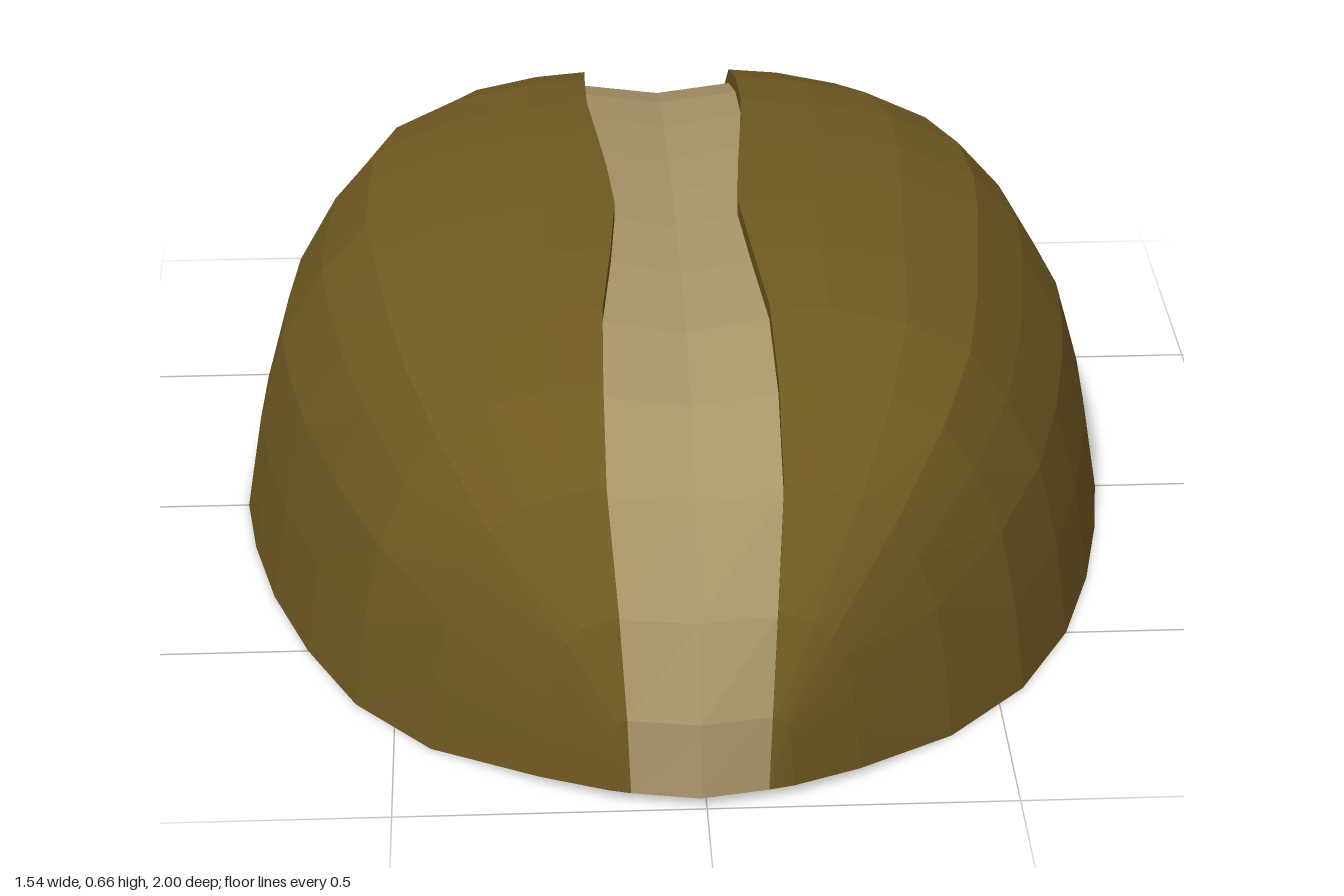
import * as THREE from 'three';

// Stations from back to front: z, crest height, half width at +x, half width at -x, groove half width
const ROWS = [
  [-0.98, 0.02, 0.105, 0.125, 0.105], [-0.97, 0.15, 0.15, 0.16, 0.11], [-0.92, 0.28, 0.28, 0.29, 0.115],
  [-0.81, 0.44, 0.455, 0.47, 0.125], [-0.67, 0.545, 0.59, 0.615, 0.127], [-0.51, 0.6, 0.685, 0.695, 0.13],
  [-0.34, 0.63, 0.75, 0.75, 0.13], [-0.16, 0.65, 0.77, 0.768, 0.117], [0, 0.66, 0.76, 0.775, 0.104],
  [0.15, 0.663, 0.738, 0.755, 0.095], [0.32, 0.66, 0.7, 0.715, 0.107], [0.5, 0.64, 0.64, 0.65, 0.126],
  [0.67, 0.59, 0.545, 0.565, 0.13], [0.81, 0.48, 0.41, 0.44, 0.13], [0.92, 0.31, 0.25, 0.265, 0.115],
  [0.97, 0.15, 0.14, 0.155, 0.105], [0.98, 0.02, 0.1, 0.12, 0.1],
];
// Cross-section from groove lip (0, 1) to rim (1, 0)
const PROFILE = [[0, 1], [0.195, 0.985], [0.437, 0.94], [0.644, 0.85], [0.77, 0.71], [0.885, 0.515], [0.954, 0.27], [1, 0]];
const LEFT_EXTRA = 0.02;

const rimY = (z) => 0.02 * THREE.MathUtils.smoothstep(Math.abs(z), 0.78, 0.98);
// Groove depth fades out at both tips
const fade = (z) => Math.min(1, (0.98 - Math.abs(z)) * 10);
const lipX = (row, side) => side * (row[4] + (side < 0 ? LEFT_EXTRA : 0));
const halfWidth = (row, side) => (side > 0 ? row[2] : row[3]);

function floorEdge(row, side) {
  const [z, h] = row;
  const f = fade(z);
  return [lipX(row, side), h * (1 - 0.045 * f), z * (1 - 0.012 * f)];
}

function floorCentre([z, h]) {
  const f = fade(z);
  return [-0.01, h * (1 - 0.078 * f), z * (1 + 0.0204 * (1 - f) - 0.012 * f)];
}

// Skin a list of equal-length cross-sections
function loft(sections, flip, name, material) {
  const n = sections[0].length;
  const index = [];
  for (let i = 0; i < sections.length - 1; i++) {
    for (let j = 0; j < n - 1; j++) {
      const a = i * n + j, b = a + 1, c = a + n, d = c + 1;
      if (flip) index.push(a, b, c, b, d, c);
      else index.push(a, c, b, b, c, d);
    }
  }
  const geometry = new THREE.BufferGeometry();
  geometry.setAttribute('position', new THREE.Float32BufferAttribute(sections.flat(2), 3));
  geometry.setIndex(index);
  geometry.computeVertexNormals();
  const mesh = new THREE.Mesh(geometry, material);
  mesh.name = name;
  return mesh;
}

export function createModel() {
  const model = new THREE.Group();
  model.name = 'halfBean';
  const brown = new THREE.MeshStandardMaterial({ color: 0x705922, flatShading: true, side: THREE.DoubleSide });
  const tan = new THREE.MeshStandardMaterial({ color: 0xa89468, flatShading: true, side: THREE.DoubleSide });

  // Two domed lobes with the groove walls between them
  for (const side of [1, -1]) {
    const label = side > 0 ? 'left' : 'right';
    const lobe = ROWS.map((row) => PROFILE.map(([q, p]) => {
      const lip = lipX(row, side), y0 = rimY(row[0]);
      return [lip + (side * halfWidth(row, side) - lip) * q, y0 + (row[1] - y0) * p, row[0]];
    }));
    model.add(loft(lobe, side < 0, label + 'Lobe', brown));
    const wall = ROWS.map((row) => [floorEdge(row, side), [lipX(row, side), row[1], row[0]]]);
    model.add(loft(wall, side < 0, label + 'GrooveWall', brown));
  }

  // Pale groove strip, slightly V-shaped
  const strip = ROWS.map((row) => [floorEdge(row, -1), floorCentre(row), floorEdge(row, 1)]);
  model.add(loft(strip, false, 'grooveStrip', tan));

  // Flat underside, closed to a point at both tips
  const tip = (z) => [[-0.01, 0.02, z], [-0.01, 0.02, z]];
  const base = ROWS.map((row) => [-1, 1].map((s) => [s * halfWidth(row, s), rimY(row[0]), row[0]]));
  model.add(loft([tip(-1), ...base, tip(1)], true, 'underside', brown));

  return model;
}
